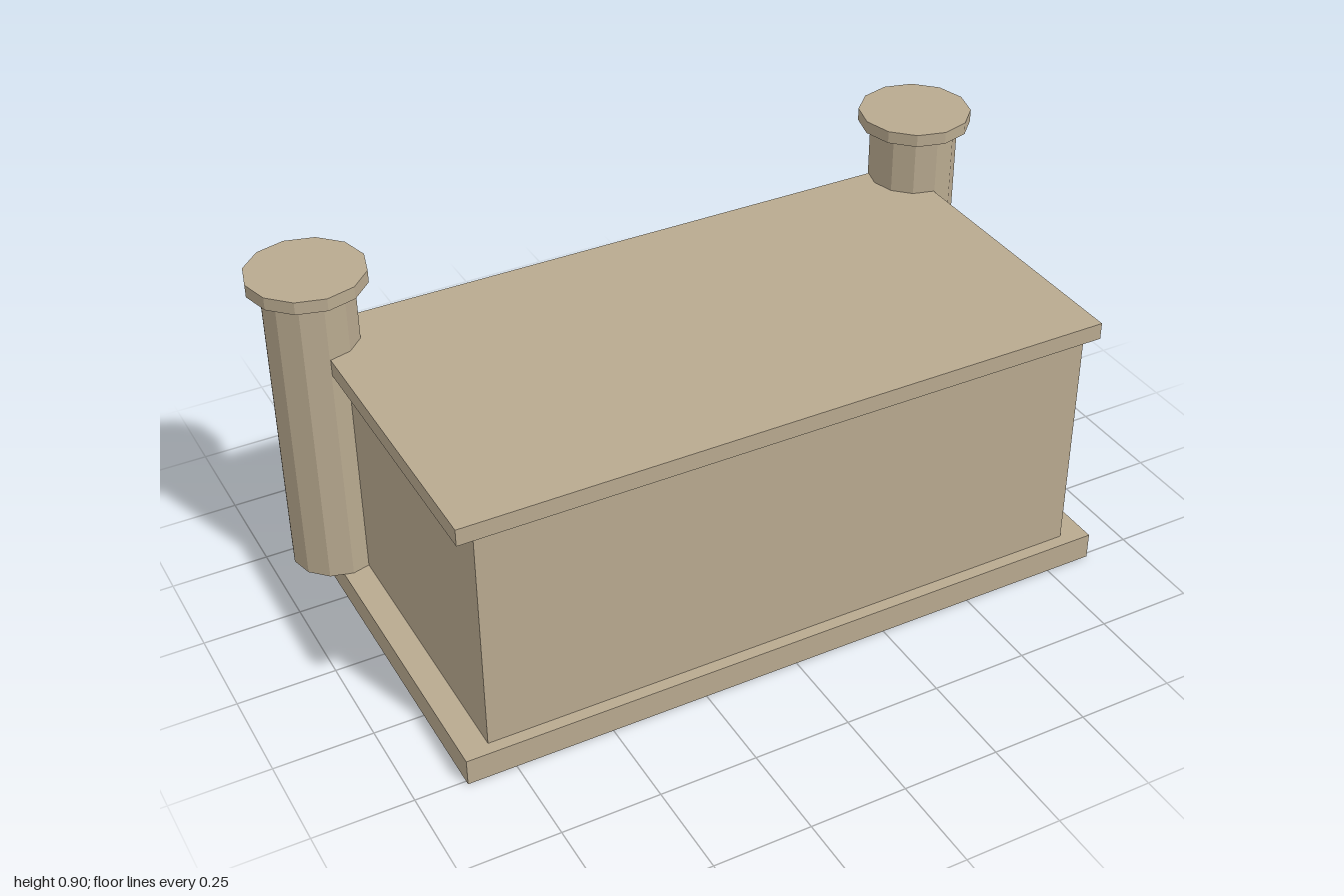
import * as THREE from 'three';

export function createModel() {
  const model = new THREE.Group();
  model.name = 'porticoBuilding';
  const stone = new THREE.MeshStandardMaterial({ color: 0xb8a98f, flatShading: true });
  stone.name = 'sandstone';

  const add = (name, geometry, x, y, z) => {
    const mesh = new THREE.Mesh(geometry, stone);
    mesh.name = name;
    mesh.position.set(x, y, z);
    model.add(mesh);
  };
  // Box given by its lower and upper limits on each axis
  const box = (name, x0, x1, y0, y1, z0, z1) =>
    add(name, new THREE.BoxGeometry(x1 - x0, y1 - y0, z1 - z0),
      (x0 + x1) / 2, (y0 + y1) / 2, (z0 + z1) / 2);
  // Twelve-sided drum standing on y0
  const drum = (name, r, x, y0, y1, z) =>
    add(name, new THREE.CylinderGeometry(r, r, y1 - y0, 12), x, (y0 + y1) / 2, z);

  const floor = 0.07, eaves = 0.67;

  // Plinth, roof slab and closed front wall
  box('plinth', -0.873, 0.873, 0, floor, -0.432, 0.511);
  box('roofSlab', -0.848, 0.848, eaves, 0.714, -0.413, 0.489);
  box('frontWall', -0.805, 0.805, floor, eaves, 0.45, 0.479);

  // Side walls and round corner towers with wider caps
  for (const side of [-1, 1]) {
    const name = side > 0 ? 'left' : 'right';
    const [a, b] = side > 0 ? [0.775, 0.805] : [-0.805, -0.775];
    box(name + 'Wall', a, b, floor, eaves, -0.38, 0.45);
    drum(name + 'Tower', 0.115, side * 0.85, floor, 0.871, -0.362);
    drum(name + 'TowerCap', 0.148, side * 0.85, 0.871, 0.904, -0.362);
  }

  // Row of square pillars along the open back, joined by a lintel
  for (let i = 0; i < 6; i++) {
    const x = -0.75 + i * 0.3;
    box('pillar', x - 0.04, x + 0.04, floor, eaves, -0.405, -0.325);
  }
  box('lintel', -0.79, 0.79, 0.625, eaves, -0.39, -0.34);

  // Panels filling two of the bays
  for (const x of [-0.3, 0.3]) box('bayPanel', x - 0.11, x + 0.11, 0.2, 0.5, -0.37, -0.345);

  return model;
}
